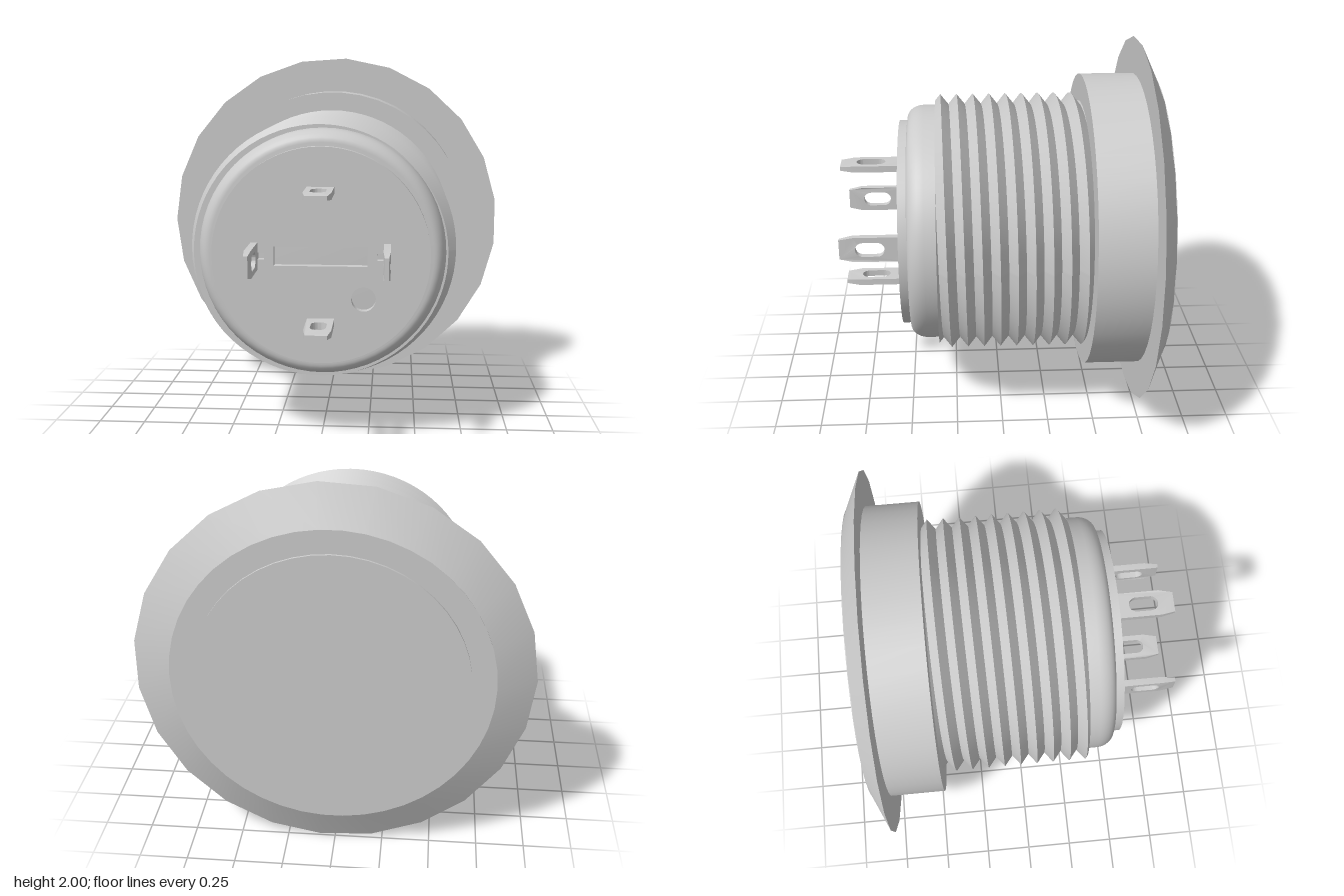
import * as THREE from 'three';
import { toCreasedNormals } from 'three/addons/utils/BufferGeometryUtils.js';

const material = new THREE.MeshStandardMaterial({ color: 0xcccccc });
const doubleSided = new THREE.MeshStandardMaterial({ color: 0xcccccc, side: THREE.DoubleSide });

function addMesh(parent, name, geometry, mat = material) {
  const mesh = new THREE.Mesh(geometry, mat);
  mesh.name = name;
  parent.add(mesh);
  return mesh;
}

// Solid of revolution around z; profile is [radius, z] from back to front
function turned(profile, segments) {
  const pts = profile.map(([r, z]) => new THREE.Vector2(r, z));
  const geo = new THREE.LatheGeometry(pts, segments, -Math.PI / 2);
  geo.rotateX(Math.PI / 2);
  return toCreasedNormals(geo, 0.4);
}

// Helical V-thread, cut off square at both ends
function threadGeometry() {
  const pitch = 0.0887, root = 0.645, crest = 0.7, zMin = -0.455, zMax = 0.34, segs = 72;
  const crestAt = (a) => 0.286 + (pitch * a) / (2 * Math.PI);
  const radius = (a, z) => {
    const t = (z - crestAt(a)) / pitch;
    const d = Math.abs(t - Math.round(t)) * 2; // 0 at crest, 1 at root
    return crest + (root - crest) * d;
  };
  const pos = [], index = [];
  // each flank is its own strip so crests and roots stay sharp
  const strip = (lower, upper) => {
    const base = pos.length / 3;
    for (let i = 0; i <= segs; i++) {
      const a = (i / segs) * Math.PI * 2;
      for (const [r, z] of [lower(a), upper(a)]) pos.push(r * Math.cos(a), r * Math.sin(a), z);
      if (i < segs) {
        const k = base + i * 2;
        index.push(k, k + 2, k + 3, k, k + 3, k + 1);
      }
    }
  };
  const point = (k) => (a) => {
    const z = THREE.MathUtils.clamp(crestAt(a) + (k * pitch) / 2, zMin, zMax);
    return [radius(a, z), z];
  };
  for (let k = -20; k < 3; k++) strip(point(k), point(k + 1));
  strip((a) => [radius(a, zMax), zMax], () => [0.62, zMax]); // front end face
  const geo = new THREE.BufferGeometry();
  geo.setAttribute('position', new THREE.Float32BufferAttribute(pos, 3));
  geo.setIndex(index);
  geo.computeVertexNormals();
  return geo;
}

function rectPath(x0, y0, x1, y1) {
  return new THREE.Path([[x0, y0], [x1, y0], [x1, y1], [x0, y1]].map((p) => new THREE.Vector2(...p)));
}

// Terminal plate with its recesses
function basePlateGeometry() {
  const shape = new THREE.Shape().absarc(0, 0, 0.56, 0, Math.PI * 2);
  shape.holes.push(
    rectPath(-0.24, -0.05, 0.24, 0.05),
    rectPath(-0.325, -0.018, -0.29, 0.018),
    rectPath(0.29, -0.018, 0.325, 0.018),
    new THREE.Path().absarc(0.22, -0.22, 0.063, 0, Math.PI * 2)
  );
  const geo = new THREE.ExtrudeGeometry(shape, { depth: 0.045, bevelEnabled: false, curveSegments: 32 });
  geo.translate(0, 0, 0.49);
  return toCreasedNormals(geo, 0.4);
}

// Solder lug: flat tapered blade with an oblong eye, pointing to +z
function lugGeometry() {
  const half = 0.0175;
  const outline = [[-0.07, 0.5], [0.07, 0.5], [0.07, 0.78], [0.055, 0.855], [-0.055, 0.855], [-0.07, 0.78]];
  const shape = new THREE.Shape(outline.map((p) => new THREE.Vector2(...p)));
  const eye = new THREE.Path();
  eye.absarc(0, 0.73, 0.04, 0, Math.PI);
  eye.absarc(0, 0.655, 0.04, Math.PI, Math.PI * 2);
  shape.holes.push(eye);
  const geo = new THREE.ExtrudeGeometry(shape, { depth: half * 2, bevelEnabled: false, curveSegments: 10 });
  geo.translate(0, 0, -half);
  // thin the tip
  const p = geo.attributes.position;
  for (let i = 0; i < p.count; i++) {
    if (p.getY(i) > 0.8) p.setZ(i, p.getZ(i) * 0.6);
  }
  geo.rotateX(Math.PI / 2);
  return toCreasedNormals(geo, 0.5);
}

export function createModel() {
  const group = new THREE.Group();
  group.name = 'panelPushButton';
  const body = new THREE.Group();
  body.name = 'body';
  body.position.set(0.005, 1, 0);
  group.add(body);

  // Bezel flange, collar and button face at the back
  addMesh(body, 'flange', turned([[0.8, -0.835], [1.0023, -0.74], [0.78, -0.74]], 23));
  addMesh(body, 'collar', turned([[0, -0.835], [0.803, -0.835], [0.803, -0.45], [0.62, -0.45]], 46));
  addMesh(body, 'buttonFace', turned([[0, -0.847], [0.683, -0.847], [0.683, -0.82]], 48));

  // Threaded barrel
  addMesh(body, 'thread', threadGeometry(), doubleSided);

  // Rounded housing end
  const housing = [[0.643, 0.3], [0.643, 0.4]];
  for (let i = 1; i <= 8; i++) {
    const a = (i / 8) * Math.PI / 2;
    housing.push([0.578 + 0.065 * Math.cos(a), 0.4 + 0.09 * Math.sin(a)]);
  }
  housing.push([0, 0.49]);
  addMesh(body, 'housingEnd', turned(housing, 64));
  addMesh(body, 'basePlate', basePlateGeometry());

  // Four lugs, each facing the centre
  const lug = lugGeometry();
  for (let i = 0; i < 4; i++) {
    const a = (i * Math.PI) / 2;
    const mesh = addMesh(body, 'solderLug', lug);
    mesh.position.set(0.34 * Math.sin(a), 0.34 * Math.cos(a), 0);
    mesh.rotation.z = -a;
  }
  return group;
}
